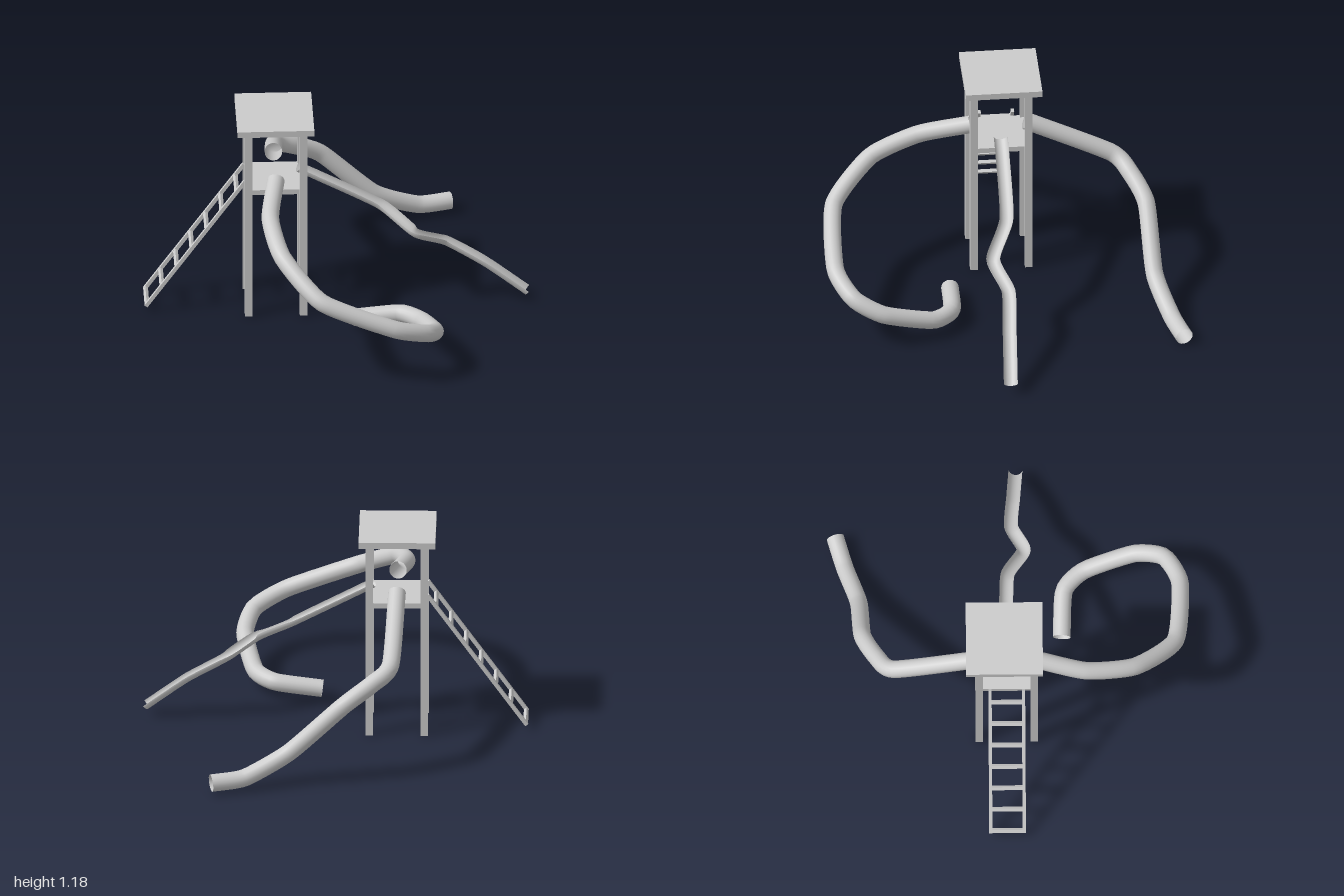
import * as THREE from 'three';
import { ParametricGeometry } from 'three/addons/geometries/ParametricGeometry.js';

const solid = new THREE.MeshStandardMaterial({ color: 0xcccccc });
const sheet = new THREE.MeshStandardMaterial({ color: 0xcccccc, side: THREE.DoubleSide });

function box(parent, name, size, pos) {
  const mesh = new THREE.Mesh(new THREE.BoxGeometry(...size), solid);
  mesh.name = name;
  mesh.position.set(...pos);
  parent.add(mesh);
  return mesh;
}

// Sweeps an arc (full circle or half pipe) along a path, keeping it upright
function slide(parent, name, points, radius, startAngle, sweep, sides) {
  const curve = new THREE.CatmullRomCurve3(
    points.map((p) => new THREE.Vector3(...p)), false, 'catmullrom', 0.3);
  const up = new THREE.Vector3(0, 1, 0);
  const side = new THREE.Vector3();
  const normal = new THREE.Vector3();
  const surface = (u, v, target) => {
    const t = THREE.MathUtils.clamp(v, 0, 1);
    const a = startAngle + sweep * u;
    const tangent = curve.getTangentAt(t);
    side.crossVectors(tangent, up).normalize();
    normal.crossVectors(side, tangent);
    target.copy(curve.getPointAt(t))
      .addScaledVector(side, radius * Math.cos(a))
      .addScaledVector(normal, radius * Math.sin(a));
  };
  const mesh = new THREE.Mesh(new ParametricGeometry(surface, sides, 72), sheet);
  mesh.name = name;
  parent.add(mesh);
}

export function createModel() {
  const model = new THREE.Group();
  model.name = 'playgroundTower';

  // Tower, turned on its vertical axis
  const tower = new THREE.Group();
  tower.name = 'tower';
  tower.position.set(-0.318, 0, -0.276);
  tower.rotation.y = -0.468;
  model.add(tower);

  const half = 0.149;
  for (const x of [-half, half])
    for (const z of [-half, half])
      box(tower, 'post', [0.041, 1.146, 0.041], [x, 0.573, z]);
  box(tower, 'platform', [0.3, 0.03, 0.3], [0, 0.77, 0]);
  box(tower, 'roof', [0.417, 0.036, 0.417], [-0.002, 1.162, -0.012]);

  // Leaning ladder: local x runs up along the rails
  const foot = new THREE.Vector2(-0.705, 0.037);
  const head = new THREE.Vector2(-0.165, 0.81);
  const run = head.clone().sub(foot);
  const ladder = new THREE.Group();
  ladder.name = 'ladder';
  ladder.position.set(foot.x, foot.y, 0);
  ladder.rotation.z = run.angle();
  tower.add(ladder);
  const length = run.length();
  for (const s of [-1, 1])
    box(ladder, 'ladderRail', [length, 0.02, 0.018], [length / 2, 0, s * 0.091]);
  for (let i = 0; i < 7; i++)
    box(ladder, 'ladderRung', [0.02, 0.018, 0.17], [0.01 + i * 0.142, 0, 0]);

  // Long tube curling round the front
  slide(model, 'spiralTubeSlide', [
    [-0.387, 0.845, -0.142], [-0.553, 0.77, 0.093], [-0.622, 0.68, 0.355],
    [-0.537, 0.52, 0.643], [-0.2, 0.36, 0.845], [0, 0.28, 0.85],
    [0.115, 0.2, 0.73], [0.184, 0.107, 0.46], [0.136, 0.09, 0.31],
    [-0.088, 0.06, 0.18],
  ], 0.048, 0, Math.PI * 2, 20);

  // Tube sweeping round the back
  slide(model, 'backTubeSlide', [
    [-0.253, 0.85, -0.408], [-0.02, 0.63, -0.81], [0.11, 0.56, -0.85],
    [0.285, 0.46, -0.845], [0.553, 0.19, -0.73], [0.8, 0.07, -0.686],
    [0.985, 0.06, -0.65],
  ], 0.048, 0, Math.PI * 2, 20);

  // Open half-pipe slide
  slide(model, 'openSlide', [
    [-0.2, 0.85, -0.215], [-0.1, 0.79, -0.165], [0.19, 0.61, -0.008],
    [0.318, 0.48, 0.158], [0.5, 0.385, 0.174], [0.69, 0.25, 0.285],
    [0.885, 0.075, 0.4],
  ], 0.038, Math.PI, Math.PI, 12);

  return model;
}
